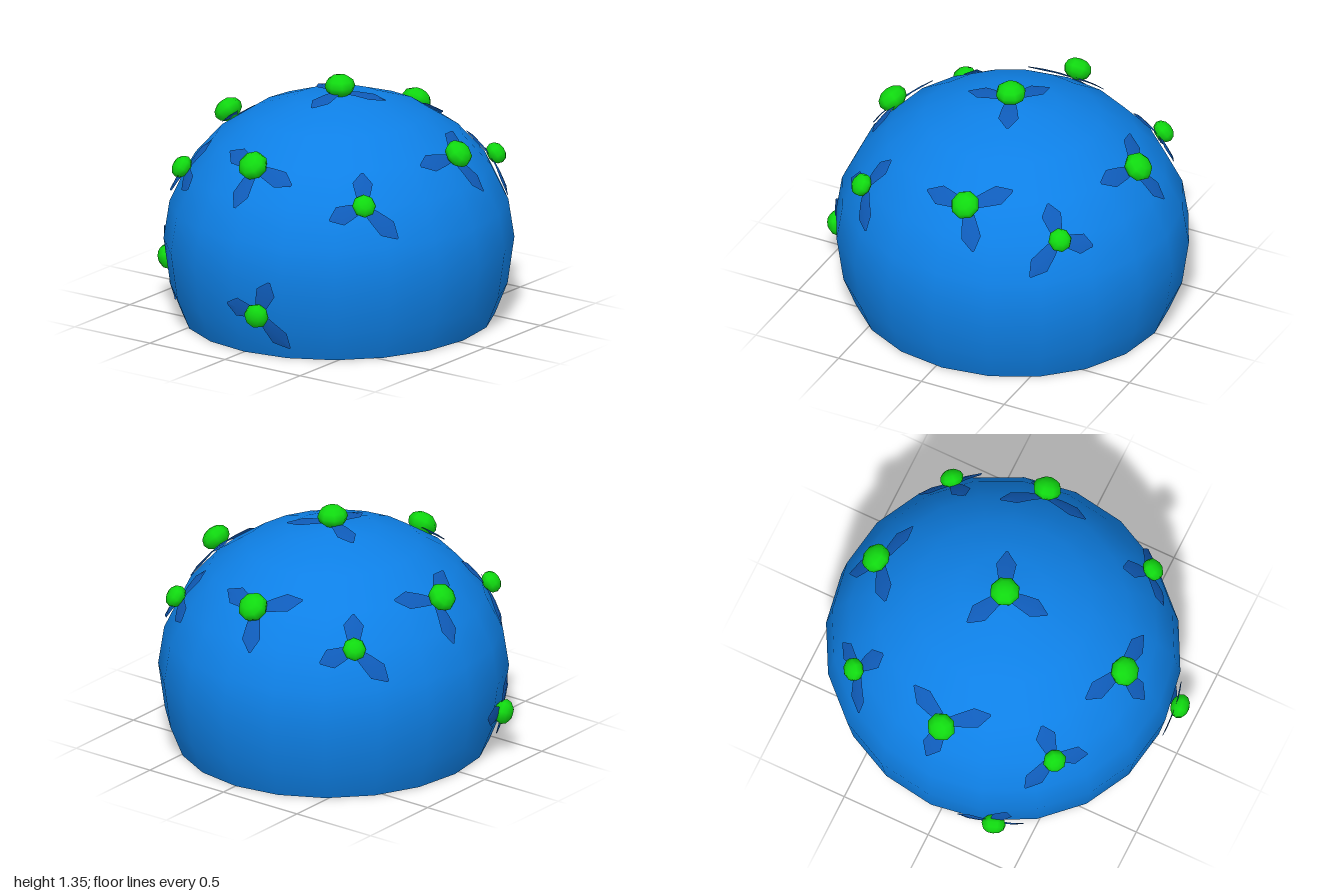
import * as THREE from 'three';

const mat = (name, color, side = THREE.FrontSide) => {
  const m = new THREE.MeshStandardMaterial({ color, side });
  m.name = name;
  return m;
};

// Dome dimensions: centre and half axes (the lower part narrows more slowly)
const CENTRE = new THREE.Vector3(0, 0.43, -0.035);
const RX = 0.93, RZ = 0.965, RY_TOP = 0.81, RY_LOW = 0.943;
const radii = (y) => new THREE.Vector3(RX, y < CENTRE.y ? RY_LOW : RY_TOP, RZ);

// Point on the dome surface, pushed outward by a factor
function onDome(p, k = 1) {
  const r = radii(p.y);
  const q = p.clone().sub(CENTRE).divide(r).normalize();
  return q.multiply(r).multiplyScalar(k).add(CENTRE);
}

function domeNormal(p) {
  const r = radii(p.y);
  return p.clone().sub(CENTRE).divide(r).divide(r).normalize();
}

// Pointed leaf lying along the dome: rows of left, middle and right points
function leafGeometry(base, dir, side, length) {
  const rows = [[0, 0.02], [0.35, 0.04], [0.68, 0.055], [1, 0.006]];
  const pos = [], idx = [];
  rows.forEach(([s, w], i) => {
    for (const t of [-1, 0, 1]) {
      const p = base.clone().addScaledVector(dir, s * length).addScaledVector(side, t * w);
      pos.push(...onDome(p, 1.013 + (t === 0 ? 0.004 : 0)).toArray());
    }
    if (i === 0) return;
    for (let j = 0; j < 2; j++) {
      const a = (i - 1) * 3 + j, b = a + 3;
      idx.push(a, a + 1, b, a + 1, b + 1, b);
    }
  });
  const g = new THREE.BufferGeometry();
  g.setAttribute('position', new THREE.Float32BufferAttribute(pos, 3));
  g.setIndex(idx);
  g.computeVertexNormals();
  return g;
}

export function createModel() {
  const group = new THREE.Group();
  const blue = mat('dome blue', 0x0e80e6, THREE.DoubleSide);
  const darkBlue = mat('leaf blue', 0x0f5cba, THREE.DoubleSide);
  const green = mat('bud green', 0x10da10);

  // Hollow dome, open at the bottom
  const profile = [-27.1, -16, 0, 15, 30, 45, 60, 75, 90].map((d) => {
    const a = THREE.MathUtils.degToRad(d);
    const y = CENTRE.y + Math.sin(a) * (d < 0 ? RY_LOW : RY_TOP);
    return new THREE.Vector2(Math.max(Math.cos(a), 0), Math.max(y, 0));
  });
  const dome = new THREE.Mesh(new THREE.LatheGeometry(profile, 20), blue);
  dome.name = 'dome';
  dome.scale.set(RX, 1, RZ);
  dome.position.z = CENTRE.z;
  group.add(dome);

  // Bud position, radius, and leaf angles seen from outside
  const diagonal = [84, 198, 314], mirrored = [96, -18, 226], low = [172, 70, -53];
  const buds = [
    ['top', [0.01, 1.285, -0.03], 0.083, [153, 23, 270]],
    ['front', [-0.03, 1.012, 0.705], 0.083, [163, -10, 265]],
    ['back', [-0.03, 1.012, -0.78], 0.083, [30, 163, 285]],
    ['right', [-0.745, 1.01, -0.045], 0.08, [156, 32, 262]],
    ['left', [0.73, 1.01, -0.125], 0.08, [32, 170, 290]],
    ['frontLeft', [0.607, 0.865, 0.565], 0.065, diagonal],
    ['frontRight', [-0.607, 0.865, 0.565], 0.065, mirrored],
    ['backLeft', [0.607, 0.865, -0.635], 0.065, mirrored],
    ['backRight', [-0.607, 0.865, -0.635], 0.065, diagonal],
    ['lowFront', [0.165, 0.26, 0.94], 0.069, low],
    ['lowRight', [-0.875, 0.255, 0.33], 0.069, low],
  ];
  const budGeometry = new THREE.SphereGeometry(1, 8, 6);

  for (const [name, at, radius, angles] of buds) {
    const cluster = new THREE.Group();
    cluster.name = name + 'Flower';
    const p = new THREE.Vector3(...at);
    const n = domeNormal(p);

    // Bud, slightly flattened against the dome
    const bud = new THREE.Mesh(budGeometry, green);
    bud.name = 'bud';
    bud.position.copy(p);
    bud.quaternion.setFromUnitVectors(new THREE.Vector3(0, 1, 0), n);
    bud.scale.set(radius, radius * 0.74, radius);
    cluster.add(bud);

    // Three leaves around the bud
    const upHint = name === 'top' ? new THREE.Vector3(0, 0, -1) : new THREE.Vector3(0, 1, 0);
    const right = upHint.cross(n).normalize();
    const up = n.clone().cross(right);
    const base = onDome(p);
    angles.forEach((deg) => {
      const a = THREE.MathUtils.degToRad(deg);
      const dir = right.clone().multiplyScalar(Math.cos(a)).addScaledVector(up, Math.sin(a));
      const side = dir.clone().cross(n);
      const long = radius > 0.07 || Math.sin(a) < -0.6;
      const leaf = new THREE.Mesh(leafGeometry(base, dir, side, long ? 0.26 : 0.2), darkBlue);
      leaf.name = 'leaf';
      cluster.add(leaf);
    });
    group.add(cluster);
  }
  return group;
}
